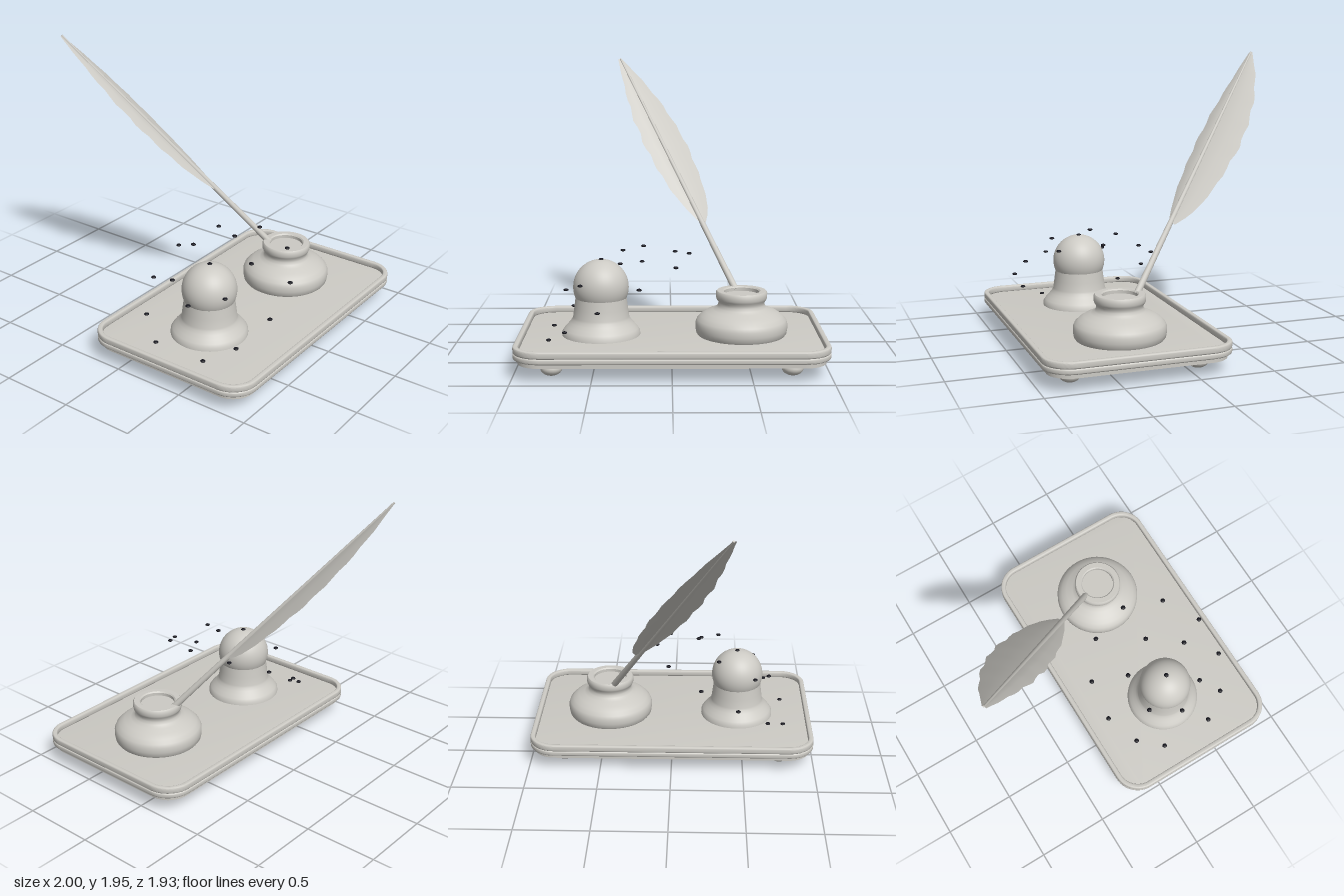
import * as THREE from 'three';
import { toCreasedNormals } from 'three/addons/utils/BufferGeometryUtils.js';

const silver = new THREE.MeshStandardMaterial({ color: 0xcccac4 });
silver.name = 'silver';
const feather = new THREE.MeshStandardMaterial({ color: 0xcfcdc7, side: THREE.DoubleSide });
feather.name = 'feather';
const black = new THREE.MeshStandardMaterial({ color: 0x14141c });
black.name = 'black';

const CZ = 0.35; // depth of the tray centre

function add(group, name, geometry, material, x = 0, y = 0, z = 0) {
  const mesh = new THREE.Mesh(geometry, material);
  mesh.name = name;
  mesh.position.set(x, y, z);
  group.add(mesh);
  return mesh;
}

function roundedRect(path, hw, hd, r) {
  path.moveTo(hw, -hd + r);
  path.lineTo(hw, hd - r);
  path.absarc(hw - r, hd - r, r, 0, Math.PI / 2, false);
  path.absarc(-hw + r, hd - r, r, Math.PI / 2, Math.PI, false);
  path.absarc(-hw + r, -hd + r, r, Math.PI, Math.PI * 1.5, false);
  path.absarc(hw - r, -hd + r, r, Math.PI * 1.5, Math.PI * 2, false);
  return path;
}

// Rounded slab lying flat, inset from the tray outline; a rim width cuts a hole
function slab(inset, height, bevel, rim = 0) {
  const e = inset + bevel;
  const shape = roundedRect(new THREE.Shape(), 1 - e, 0.62 - e, 0.18 - e);
  if (rim) {
    const h = inset + rim - bevel;
    shape.holes.push(roundedRect(new THREE.Path(), 1 - h, 0.62 - h, 0.18 - h));
  }
  const geo = new THREE.ExtrudeGeometry(shape, {
    depth: height - 2 * bevel, bevelEnabled: bevel > 0, bevelSize: bevel,
    bevelThickness: bevel, bevelSegments: 3, curveSegments: 10,
  });
  geo.translate(0, 0, bevel).rotateX(-Math.PI / 2);
  return toCreasedNormals(geo, 0.6);
}

function turned(points) {
  const geo = new THREE.LatheGeometry(points.map(([r, y]) => new THREE.Vector2(r, y)), 48);
  return toCreasedNormals(geo, 0.7);
}

function makeTray() {
  const tray = new THREE.Group();
  tray.name = 'tray';
  add(tray, 'trayBase', slab(0.03, 0.035, 0), silver, 0, 0.09, CZ);
  add(tray, 'trayFloor', slab(0, 0.037, 0.01), silver, 0, 0.12, CZ);
  add(tray, 'trayRim', slab(0, 0.045, 0.01, 0.035), silver, 0, 0.155, CZ);
  for (const sx of [-1, 1]) {
    for (const sz of [-1, 1]) {
      const foot = add(tray, 'foot', new THREE.SphereGeometry(0.07, 24, 16), silver, sx * 0.76, 0.05, CZ + sz * 0.425);
      foot.scale.y = 0.7;
    }
  }
  return tray;
}

// Flat-topped well with a flared lip and a shallow sunken centre
function makeInkwell() {
  const well = new THREE.Group();
  well.name = 'inkwell';
  add(well, 'inkwellBody', turned([
    [0.285, 0.15], [0.3, 0.17], [0.305, 0.2], [0.305, 0.235], [0.295, 0.26], [0.27, 0.285],
    [0.235, 0.308], [0.19, 0.325], [0.165, 0.34], [0.154, 0.358], [0.154, 0.378], [0.165, 0.393],
    [0.17, 0.407], [0.17, 0.44], [0.162, 0.45], [0.125, 0.45], [0.117, 0.442], [0.117, 0.42], [0, 0.42],
  ]), silver, 0.463, 0, CZ);
  return well;
}

// Round-headed shaker on a flared foot, with grains of sand flying around it
function makeShaker() {
  const shaker = new THREE.Group();
  shaker.name = 'shaker';
  add(shaker, 'shakerBody', turned([
    [0.26, 0.15], [0.258, 0.18], [0.245, 0.2], [0.225, 0.222], [0.205, 0.245], [0.191, 0.265],
    [0.186, 0.28], [0.178, 0.34], [0.17, 0.4], [0.167, 0.43],
  ]), silver, -0.468, 0, CZ);
  add(shaker, 'shakerHead', new THREE.SphereGeometry(0.184, 40, 28), silver, -0.468, 0.476, CZ);

  // x, y and sideways distance of each grain, mirrored front to back
  const grains = [
    [-0.465, 0.66, 0], [-0.7, 0.455, 0], [-0.185, 0.75, 0], [0.115, 0.7, 0],
    [-0.59, 0.527, 0.213], [-0.33, 0.677, 0.235],
    [-0.8, 0.165, 0.192], [-0.68, 0.26, 0.365], [-0.465, 0.41, 0.475],
    [-0.205, 0.555, 0.457], [0.025, 0.66, 0.283],
  ];
  const grainGeo = new THREE.SphereGeometry(0.017, 12, 8).scale(1, 0.5, 1);
  for (const [x, y, dz] of grains) {
    for (const s of dz ? [-1, 1] : [1]) add(shaker, 'grain', grainGeo, black, x, y, CZ + s * dz);
  }
  return shaker;
}

// Linear lookup in a short list of [t, value]
function sample(list, t) {
  let i = 1;
  while (i < list.length - 1 && list[i][0] < t) i++;
  const [t0, v0] = list[i - 1], [t1, v1] = list[i];
  return THREE.MathUtils.lerp(v0, v1, (t - t0) / (t1 - t0));
}

function makeQuill() {
  const quill = new THREE.Group();
  quill.name = 'quill';
  const start = new THREE.Vector3(0.432, 0.425, 0.225);
  const end = new THREE.Vector3(-0.38, 1.95, -0.95);
  const along = end.clone().sub(start);
  const length = along.length();
  along.normalize();
  const across = new THREE.Vector3().crossVectors(along, new THREE.Vector3(0, 1, 0)).normalize();
  const above = new THREE.Vector3().crossVectors(across, along);

  // Tapered shaft
  const shaft = add(quill, 'quillShaft', new THREE.CylinderGeometry(0.007, 0.023, length, 12), silver);
  shaft.position.copy(start).lerp(end, 0.5);
  shaft.quaternion.setFromUnitVectors(new THREE.Vector3(0, 1, 0), along);

  // Vane: a wide and a narrow side drooping from the shaft, with a ragged edge
  const wide = [[0, 0.035], [0.07, 0.12], [0.2, 0.185], [0.33, 0.215], [0.47, 0.235], [0.6, 0.22], [0.73, 0.185], [0.88, 0.105], [1, 0.012]];
  const narrow = [[0, 0.015], [0.12, 0.075], [0.25, 0.11], [0.45, 0.13], [0.65, 0.115], [0.85, 0.065], [1, 0.018]];
  const geo = new THREE.PlaneGeometry(2, 1, 4, 24);
  const pos = geo.attributes.position;
  const p = new THREE.Vector3();
  for (let i = 0; i < pos.count; i++) {
    const u = pos.getX(i), t = pos.getY(i) + 0.5;
    const ragged = 0.009 * Math.sin(t * 44 + u) * Math.sin(t * Math.PI);
    const width = sample(u > 0 ? wide : narrow, t) + ragged;
    const sweep = u > 0 ? -0.02 * u * (1 - t) : 0.02 * u * (1 - t);
    p.copy(start).addScaledVector(along, THREE.MathUtils.lerp(0.58, length, t) + sweep);
    p.addScaledVector(across, u * width);
    p.addScaledVector(above, -u * u * width * (u > 0 ? 0.15 : 0.3));
    pos.setXYZ(i, p.x, p.y, p.z);
  }
  geo.computeVertexNormals();
  add(quill, 'quillVane', geo, feather);
  return quill;
}

export function createModel() {
  const model = new THREE.Group();
  model.name = 'writingSet';
  model.add(makeTray(), makeInkwell(), makeShaker(), makeQuill());
  return model;
}
